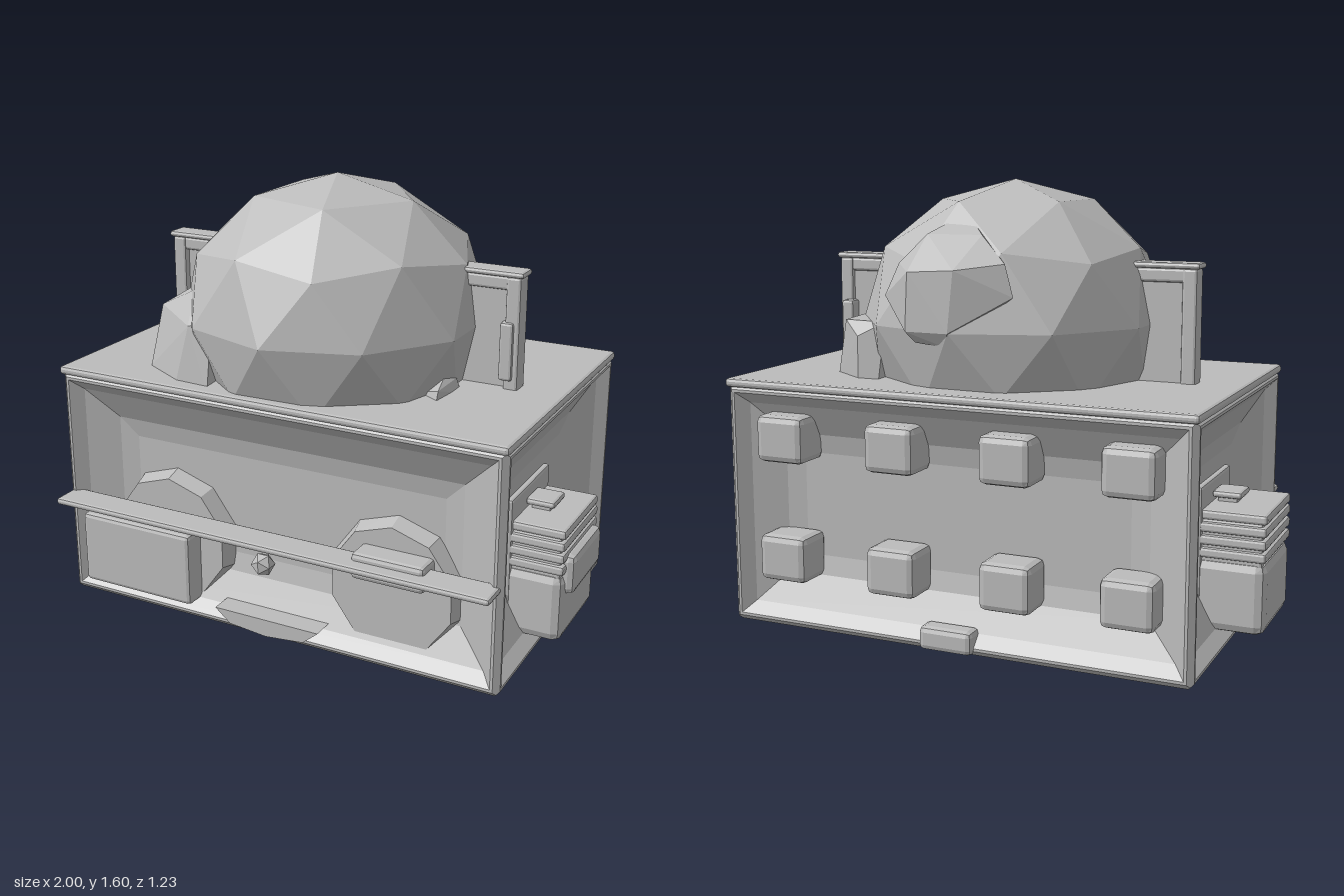
import * as THREE from 'three';
import { RoundedBoxGeometry } from 'three/addons/geometries/RoundedBoxGeometry.js';
import { ConvexGeometry } from 'three/addons/geometries/ConvexGeometry.js';

export function createModel() {
  const model = new THREE.Group();
  const grey = new THREE.MeshStandardMaterial({ color: 0xbcbcbc });
  grey.name = 'plain grey';
  grey.flatShading = true;

  const add = (name, geometry, parent = model) => {
    const mesh = new THREE.Mesh(geometry, grey);
    mesh.name = name;
    parent.add(mesh);
    return mesh;
  };

  // Chamfered block given by its extents on each axis
  const block = (name, [x0, x1], [y0, y1], [z0, z1], bevel = 0.01, parent = model) => {
    const w = x1 - x0, h = y1 - y0, d = z1 - z0;
    const r = Math.min(bevel, w * 0.45, h * 0.45, d * 0.45);
    const mesh = add(name, new RoundedBoxGeometry(w, h, d, 1, r), parent);
    mesh.position.set((x0 + x1) / 2, (y0 + y1) / 2, (z0 + z1) / 2);
    return mesh;
  };

  // Wall facing +z made of nested rectangles, each [inset, depth], closed by a floor
  const wall = (name, w, h, rings) => {
    const loops = rings.map(([inset, depth]) => {
      const x = w / 2 - inset, y = h / 2 - inset;
      return [[-x, -y, -depth], [x, -y, -depth], [x, y, -depth], [-x, y, -depth]];
    });
    const points = [];
    const quad = (a, b, c, d) => points.push(...a, ...b, ...c, ...a, ...c, ...d);
    for (let k = 0; k + 1 < loops.length; k++) {
      for (let i = 0; i < 4; i++) {
        const j = (i + 1) % 4;
        quad(loops[k][i], loops[k][j], loops[k + 1][j], loops[k + 1][i]);
      }
    }
    quad(...loops[loops.length - 1]);
    const geometry = new THREE.BufferGeometry();
    geometry.setAttribute('position', new THREE.Float32BufferAttribute(points, 3));
    geometry.computeVertexNormals();
    return add(name, geometry);
  };

  // Body: four dished walls and a flat base, meeting at chamfered edges
  const W = 1.74, H = 0.88, D = 1.11, midZ = -0.035;
  const rim = [[0.01, 0.01], [0.02, 0]];
  const dish = [...rim, [0.03, 0], [0.07, 0.04], [0.18, 0.1], [0.25, 0.115]];
  for (let i = 0; i < 4; i++) {
    const side = i % 2 === 1;
    const mesh = wall(side ? 'sideWall' : 'longWall', side ? D : W, H, dish);
    const angle = (i * Math.PI) / 2, out = (side ? W : D) / 2;
    mesh.rotation.y = angle;
    mesh.position.set(Math.sin(angle) * out, H / 2, midZ + Math.cos(angle) * out);
  }
  const base = wall('base', W, D, rim);
  base.rotation.x = Math.PI / 2;
  base.position.set(0, 0, midZ);
  block('lid', [-0.875, 0.875], [0.868, 0.9], [-0.597, 0.527], 0.012);

  // Faceted dome: icosphere with a vertex at the top
  const dome = new THREE.IcosahedronGeometry(1, 1);
  dome.rotateZ(-Math.atan(2 / (1 + Math.sqrt(5))));
  dome.scale(0.562, 0.5, 0.568);
  add('dome', dome).position.set(0, 1.1, 0);

  // Angular lumps around the dome
  const lump = (name, points) =>
    add(name, new ConvexGeometry(points.map((p) => new THREE.Vector3(...p))));
  lump('backLump', [
    [0.0, 1.455, -0.35], [0.1, 1.455, -0.35], [-0.06, 1.42, -0.42], [0.14, 1.42, -0.43],
    [-0.17, 1.33, -0.48], [-0.02, 1.31, -0.565], [0.15, 1.3, -0.565], [-0.2, 1.22, -0.48],
    [0.28, 1.21, -0.48], [0.24, 1.32, -0.45], [0.0, 1.1, -0.57], [0.16, 1.1, -0.565],
    [0.02, 1.05, -0.54], [0.14, 1.06, -0.53], [0.06, 1.07, -0.4],
  ]);
  lump('frontLump', [
    [-0.6, 0.88, 0.05], [-0.63, 0.9, 0.2], [-0.58, 0.9, 0.36], [-0.41, 0.88, 0.46],
    [-0.27, 0.88, 0.47], [-0.59, 1.06, 0.06], [-0.59, 1.1, 0.2], [-0.56, 1.12, 0.3],
    [-0.45, 1.2, 0.18], [-0.42, 1.19, 0.3], [-0.27, 1.12, 0.43], [-0.36, 1.1, 0.44],
    [-0.3, 1.12, 0.2], [-0.3, 0.88, 0.1],
  ]);
  lump('sideLump', [
    [0.62, 0.88, -0.13], [0.63, 0.92, -0.16], [0.58, 0.88, -0.3], [0.44, 0.88, -0.4],
    [0.36, 0.88, -0.4], [0.59, 1.04, -0.1], [0.55, 1.1, -0.13], [0.52, 1.1, -0.34],
    [0.44, 1.05, -0.4], [0.35, 1.1, -0.36], [0.38, 0.88, -0.08],
  ]);
  lump('smallLump', [
    [0.5, 0.88, 0.24], [0.52, 0.88, 0.06], [0.5, 0.93, 0.22], [0.48, 0.95, 0.12],
    [0.5, 0.93, 0.06], [0.35, 0.88, 0.15],
  ]);

  // Upright frame running through the dome
  block('frameCap', [-0.715, 0.715], [1.298, 1.32], [-0.07, 0.018]);
  block('frameRail', [-0.7, 0.7], [1.25, 1.3], [-0.06, 0.005]);
  block('frameBoard', [-0.67, 0.67], [0.88, 1.27], [-0.05, -0.015], 0.005);
  for (const [x0, x1] of [[-0.705, -0.65], [0.65, 0.705]]) {
    block('framePost', [x0, x1], [0.88, 1.3], [-0.065, 0.01]);
  }
  block('frameLatch', [0.635, 0.685], [0.93, 1.14], [-0.095, 0.02]);

  // Front shelf
  block('shelf', [-0.86, 0.86], [0.385, 0.41], [0.49, 0.612]);

  // Round surrounds standing on the sunken front wall
  for (const s of [-1, 1]) {
    const disc = add('roundSurround', new THREE.CylinderGeometry(0.235, 0.265, 0.1, 10));
    disc.rotation.x = Math.PI / 2;
    disc.position.set(s * 0.45, 0.28, 0.42);
  }

  // Front details
  block('frontPanel', [-0.79, -0.32], [0.065, 0.34], [0.42, 0.55], 0.015);
  block('frontTag', [0.34, 0.61], [0.34, 0.435], [0.42, 0.56], 0.015);
  const lip = new THREE.Shape(
    [[-0.21, 0.09], [-0.15, 0.04], [0, 0.025], [0.15, 0.04], [0.21, 0.09]]
      .map(([x, y]) => new THREE.Vector2(x, y)));
  const lipMesh = add('frontLip',
    new THREE.ExtrudeGeometry(lip, { depth: 0.1, bevelEnabled: false }));
  lipMesh.position.z = 0.452;
  add('frontKnob', new THREE.IcosahedronGeometry(0.043, 0)).position.set(0, 0.315, 0.56);

  // Rear buttons in two rows, and a foot tab
  for (const x of [-0.65, -0.22, 0.21, 0.645]) {
    for (const y of [0.26, 0.695]) {
      block('rearButton', [x - 0.095, x + 0.095], [y - 0.085, y + 0.085], [-0.615, -0.46], 0.025);
    }
  }
  block('rearTab', [-0.1, 0.1], [0.005, 0.09], [-0.615, -0.53], 0.02);

  // Side cabinets with back plate, louvers, cap and knob
  for (const s of [-1, 1]) {
    const cabinet = new THREE.Group();
    cabinet.name = s > 0 ? 'leftCabinet' : 'rightCabinet';
    model.add(cabinet);
    const reach = s > 0 ? 0.965 : 1.0;
    const span = (a, b) => (s > 0 ? [a, b] : [-b, -a]);
    block('backPlate', span(0.74, 0.775), [0.1, 0.57], [-0.19, 0.19], 0.01, cabinet);
    block('cabinetBody', span(0.74, reach), [0.06, 0.32], [-0.187, 0.187], 0.035, cabinet);
    block('cabinetCore', span(0.74, reach - 0.015), [0.29, 0.46], [-0.175, 0.175], 0.01, cabinet);
    for (const y of [0.34, 0.385, 0.43]) {
      block('louver', span(0.74, reach), [y - 0.018, y + 0.018], [-0.187, 0.187], 0.01, cabinet);
    }
    block('cabinetCap', span(0.74, reach), [0.455, 0.49], [-0.18, 0.18], 0.01, cabinet);
    block('capKnobStem', span(0.79, 0.86), [0.48, 0.515], [-0.04, 0.04], 0.005, cabinet);
    block('capKnob', span(0.775, 0.88), [0.505, 0.53], [-0.06, 0.06], 0.01, cabinet);
    if (s > 0) block('cabinetPanel', [0.92, 0.995], [0.24, 0.39], [-0.155, 0.155], 0.025, cabinet);
  }

  return model;
}
